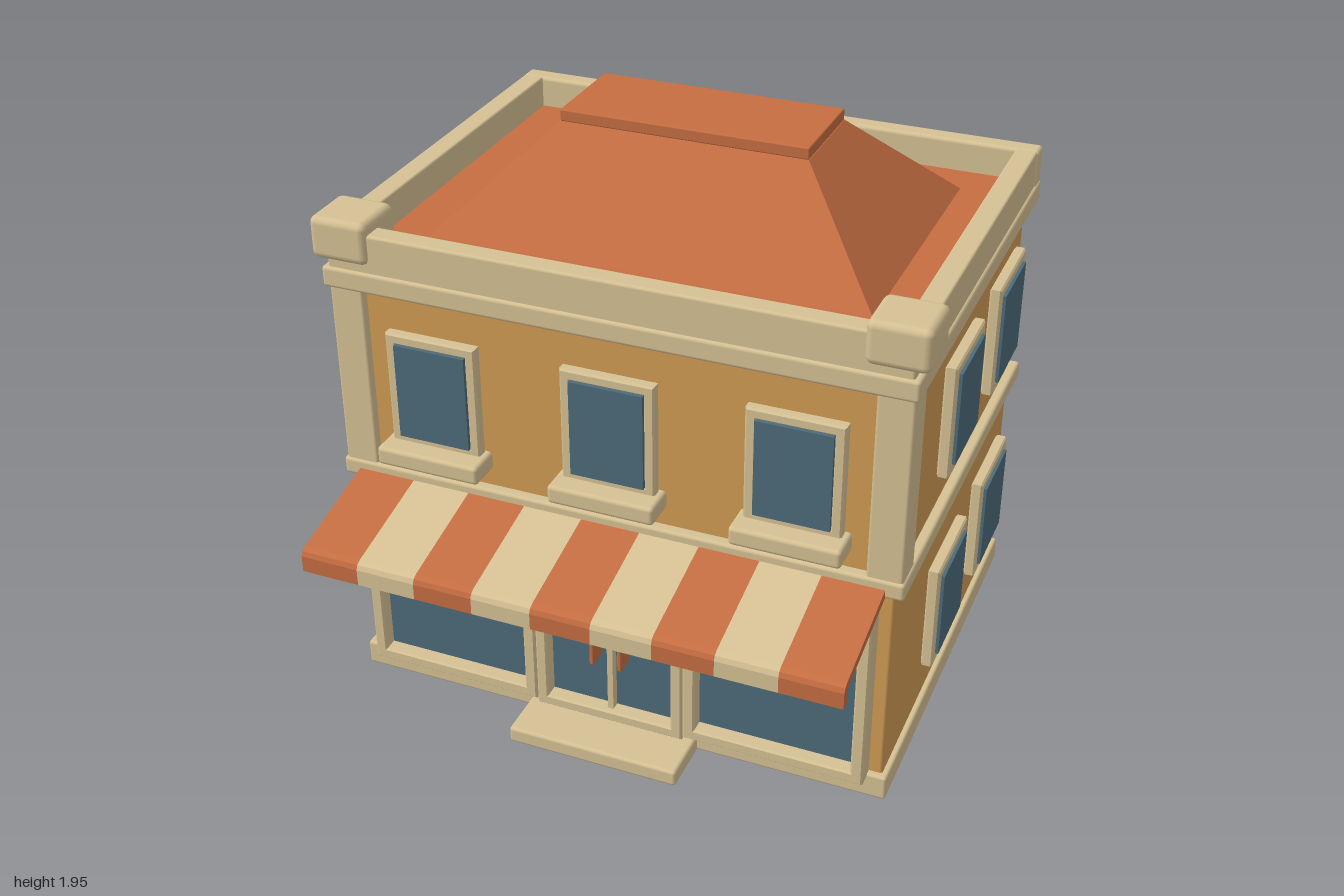
import * as THREE from 'three';
import { RoundedBoxGeometry } from 'three/addons/geometries/RoundedBoxGeometry.js';

const mat = (name, color) => {
  const m = new THREE.MeshStandardMaterial({ color });
  m.name = name;
  return m;
};

export function createModel() {
  const model = new THREE.Group();
  model.name = 'shopBuilding';
  const cream = mat('cream stone', 0xd6c194);
  const ochre = mat('ochre wall', 0xd09c53);
  const terracotta = mat('terracotta', 0xc66e42);
  const glassBlue = mat('blue glass', 0x4d6b7a);

  const add = (name, geometry, material, parent = model) => {
    const mesh = new THREE.Mesh(geometry, material);
    mesh.name = name;
    parent.add(mesh);
    return mesh;
  };

  // Box given by its limits, with an optional soft edge
  const box = (name, material, [x0, x1], [y0, y1], [z0, z1], r = 0, parent = model) => {
    const size = [x1 - x0, y1 - y0, z1 - z0];
    const geo = r ? new RoundedBoxGeometry(...size, 2, r) : new THREE.BoxGeometry(...size);
    geo.translate((x0 + x1) / 2, (y0 + y1) / 2, (z0 + z1) / 2);
    return add(name, geo, material, parent);
  };

  // Bevelled rectangular frame in the xy plane, its back at z = 0
  const frame = (name, [x0, x1], [y0, y1], border, depth, parent) => {
    const b = 0.006;
    const rect = (P, d) => {
      const p = new P();
      p.moveTo(x0 + d, y0 + d);
      p.lineTo(x1 - d, y0 + d);
      p.lineTo(x1 - d, y1 - d);
      p.lineTo(x0 + d, y1 - d);
      p.closePath();
      return p;
    };
    const shape = rect(THREE.Shape, b);
    shape.holes.push(rect(THREE.Path, border - b));
    const geo = new THREE.ExtrudeGeometry(shape, {
      depth: depth - 2 * b, bevelEnabled: true, bevelThickness: b, bevelSize: b, bevelSegments: 1,
    });
    geo.translate(0, 0, b);
    return add(name, geo, cream, parent);
  };

  // Small window centred on its own origin, facing +z
  const windowUnit = (name, w, h, x, y, z, turn) => {
    const g = new THREE.Group();
    g.name = name;
    frame('windowFrame', [-w / 2, w / 2], [-h / 2, h / 2], 0.036, 0.04, g);
    box('windowPane', glassBlue, [-w / 2 + 0.034, w / 2 - 0.034], [-h / 2 + 0.034, h / 2 - 0.034], [0, 0.05], 0, g);
    g.position.set(x, y, z);
    g.rotation.y = turn;
    model.add(g);
  };

  // Main masses and horizontal bands
  box('base', cream, [-0.95, 0.95], [0, 0.09], [-0.907, 0.557], 0.01);
  box('lowerWalls', ochre, [-0.93, 0.93], [0.05, 0.83], [-0.89, 0.535], 0.01);
  box('upperWalls', ochre, [-0.93, 0.93], [0.82, 1.54], [-0.89, 0.53], 0.01);
  box('middleBand', cream, [-0.965, 0.965], [0.8, 0.862], [-0.92, 0.565], 0.012);
  box('cornice', cream, [-0.97, 0.97], [1.5, 1.572], [-0.933, 0.575], 0.012);
  box('frontStep', cream, [-0.3, 0.3], [0, 0.06], [0.55, 0.755], 0.012);

  // Parapet, corner blocks and front pilasters
  box('frontParapet', cream, [-0.95, 0.95], [1.56, 1.7], [0.49, 0.565], 0.01);
  box('backParapet', cream, [-0.965, 0.965], [1.56, 1.7], [-0.93, -0.858], 0.014);
  for (const s of [-1, 1]) {
    const span = (a, b) => (s > 0 ? [a, b] : [-b, -a]);
    box('sideParapet', cream, span(0.885, 0.96), [1.56, 1.7], [-0.865, 0.5], 0.008);
    box('cornerBlock', cream, span(0.8, 0.998), [1.597, 1.74], [0.385, 0.582], 0.025);
    box('pilaster', cream, span(0.84, 0.957), [0.85, 1.51], [0.435, 0.557], 0.01);
  }

  // Roof deck, hipped roof and cap
  box('roofDeck', terracotta, [-0.9, 0.9], [1.56, 1.59], [-0.87, 0.5]);
  const hip = new THREE.BoxGeometry(2, 0.32, 2).toNonIndexed();
  const p = hip.attributes.position;
  for (let i = 0; i < p.count; i++) {
    const top = p.getY(i) > 0;
    p.setX(i, p.getX(i) * (top ? 0.42 : 0.74));
    p.setZ(i, p.getZ(i) * (top ? 0.177 : 0.5) - 0.213);
  }
  hip.translate(0, 1.75, 0);
  hip.computeVertexNormals();
  add('hippedRoof', hip, terracotta);
  box('roofCap', terracotta, [-0.42, 0.42], [1.91, 1.95], [-0.388, -0.036], 0.005);

  // Upper front windows with sills
  for (const x of [-0.605, 0, 0.605]) {
    windowUnit('frontWindow', 0.315, 0.4, x, 1.175, 0.533, 0);
    box('windowSill', cream, [x - 0.18, x + 0.18], [0.923, 0.988], [0.52, 0.645], 0.014);
  }

  // Side windows on both floors, and back windows
  for (const s of [-1, 1]) {
    for (const z of [-0.055, -0.613]) {
      windowUnit('sideWindow', 0.35, 0.396, s * 0.93, 1.177, z, s * Math.PI / 2);
      windowUnit('sideWindow', 0.355, 0.385, s * 0.93, 0.423, z, s * Math.PI / 2);
    }
    windowUnit('backWindow', 0.355, 0.396, s * 0.53, 1.177, -0.893, Math.PI);
  }
  box('backDoor', terracotta, [-0.175, 0.175], [0.055, 0.64], [-0.918, -0.88], 0.004);

  // Shop front: display windows, double door and handles
  const shop = new THREE.Group();
  shop.name = 'shopFront';
  shop.position.z = 0.53;
  model.add(shop);
  for (const s of [-1, 1]) {
    const span = (a, b) => (s > 0 ? [a, b] : [-b, -a]);
    frame('displayFrame', span(0.265, 0.885), [0.083, 0.738], 0.042, 0.08, shop);
    box('displayPane', glassBlue, span(0.28, 0.87), [0.083, 0.73], [0, 0.029], 0, shop);
    box('doorPane', glassBlue, span(0.005, 0.235), [0.09, 0.73], [0, 0.029], 0, shop);
    box('doorHandle', terracotta, span(0.042, 0.057), [0.305, 0.412], [0.02, 0.097], 0.005, shop);
  }
  frame('doorFrame', [-0.262, 0.262], [0.07, 0.738], 0.04, 0.08, shop);
  box('doorMullion', cream, [-0.01, 0.01], [0.09, 0.72], [0, 0.06], 0, shop);

  // Striped awning: one bent profile (z, y) repeated along x
  const profile = [[0.55, 0.803], [0.908, 0.722], [0.915, 0.712], [0.915, 0.668],
    [0.95, 0.668], [0.95, 0.725], [0.943, 0.741], [0.925, 0.75], [0.55, 0.835]];
  const awningShape = new THREE.Shape(profile.map(([z, y]) => new THREE.Vector2(-z, y)));
  const awning = new THREE.Group();
  awning.name = 'awning';
  model.add(awning);
  const stripe = 1.812 / 9;
  for (let i = 0; i < 9; i++) {
    const geo = new THREE.ExtrudeGeometry(awningShape, { depth: stripe, bevelEnabled: false });
    geo.rotateY(Math.PI / 2);
    geo.translate(-0.906 + i * stripe, 0, 0);
    add('awningStripe', geo, i % 2 ? cream : terracotta, awning);
  }
  return model;
}
